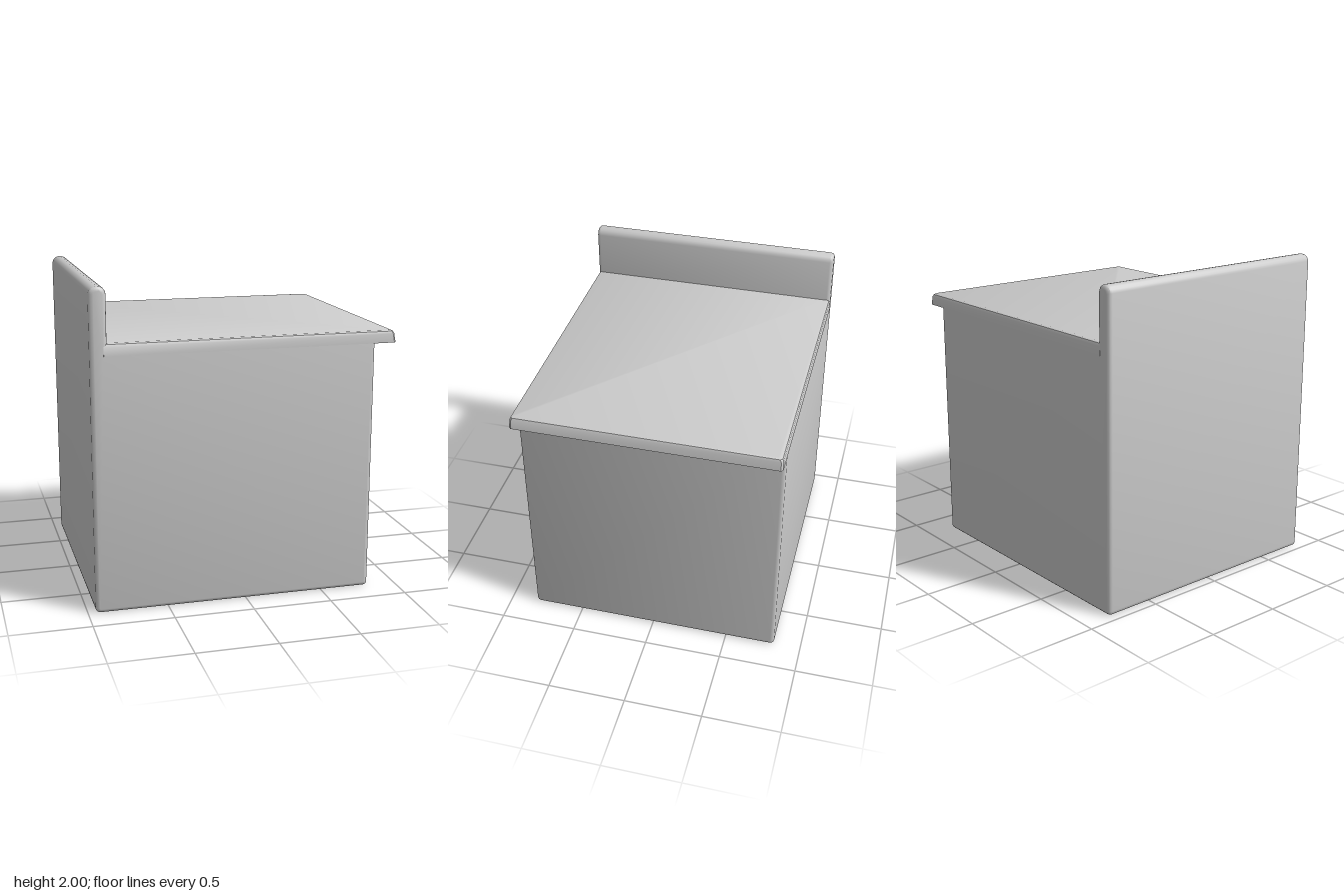
import * as THREE from 'three';
import { toCreasedNormals } from 'three/addons/utils/BufferGeometryUtils.js';

const material = new THREE.MeshStandardMaterial({ color: 0xcccccc });

// Stack of equal-length horizontal rings, capped at both ends
function loft(rings) {
  const n = rings[0].length;
  const positions = rings.flat(2);
  const index = [];
  for (let r = 0; r < rings.length - 1; r++) {
    for (let i = 0; i < n; i++) {
      const a = r * n + i, b = r * n + (i + 1) % n;
      index.push(a, a + n, b, b, a + n, b + n);
    }
  }
  const last = (rings.length - 1) * n;
  for (let i = 1; i < n - 1; i++) {
    index.push(0, i, i + 1);
    index.push(last, last + i + 1, last + i);
  }
  const geometry = new THREE.BufferGeometry();
  geometry.setAttribute('position', new THREE.Float32BufferAttribute(positions, 3));
  geometry.setIndex(index);
  return geometry;
}

function addPart(group, name, geometry) {
  const mesh = new THREE.Mesh(toCreasedNormals(geometry, 0.6), material);
  mesh.name = name;
  group.add(mesh);
}

export function createModel() {
  const group = new THREE.Group();
  group.name = 'cabinet';

  // Cabinet body and upright back panel share one rounded side profile
  const bevel = 0.025;
  const side = new THREE.Shape();
  side.moveTo(-0.92, 0);
  side.lineTo(0.785, 0);
  side.quadraticCurveTo(0.815, 0, 0.815, 0.03);
  side.lineTo(0.815, 1.625);
  side.lineTo(-0.848, 1.625);
  side.lineTo(-0.848, 1.955);
  side.quadraticCurveTo(-0.855, 1.998, -0.9, 2);
  side.quadraticCurveTo(-0.945, 1.998, -0.952, 1.955);
  side.lineTo(-0.952, 0.03);
  side.quadraticCurveTo(-0.952, 0, -0.92, 0);
  const body = new THREE.ExtrudeGeometry(side, {
    depth: 1.65 - 2 * bevel, bevelEnabled: true, bevelSize: bevel, bevelThickness: bevel,
    bevelOffset: -bevel, bevelSegments: 3, curveSegments: 4,
  });
  body.translate(0, 0, -(0.825 - bevel));
  addPart(group, 'bodyAndBackPanel', body);

  // Overhanging top slab, tapering slightly upwards with a softened rim
  const ring = (y, front, w, c = 0.012) => [
    [-0.87, y, -w], [front - c, y, -w], [front, y, -w + c],
    [front, y, w - c], [front - c, y, w], [-0.87, y, w],
  ];
  addPart(group, 'topSlab', loft([
    ring(1.59, 0.95, 0.828), ring(1.645, 0.941, 0.825),
    ring(1.66, 0.934, 0.818), ring(1.667, 0.92, 0.806),
  ]));

  return group;
}
